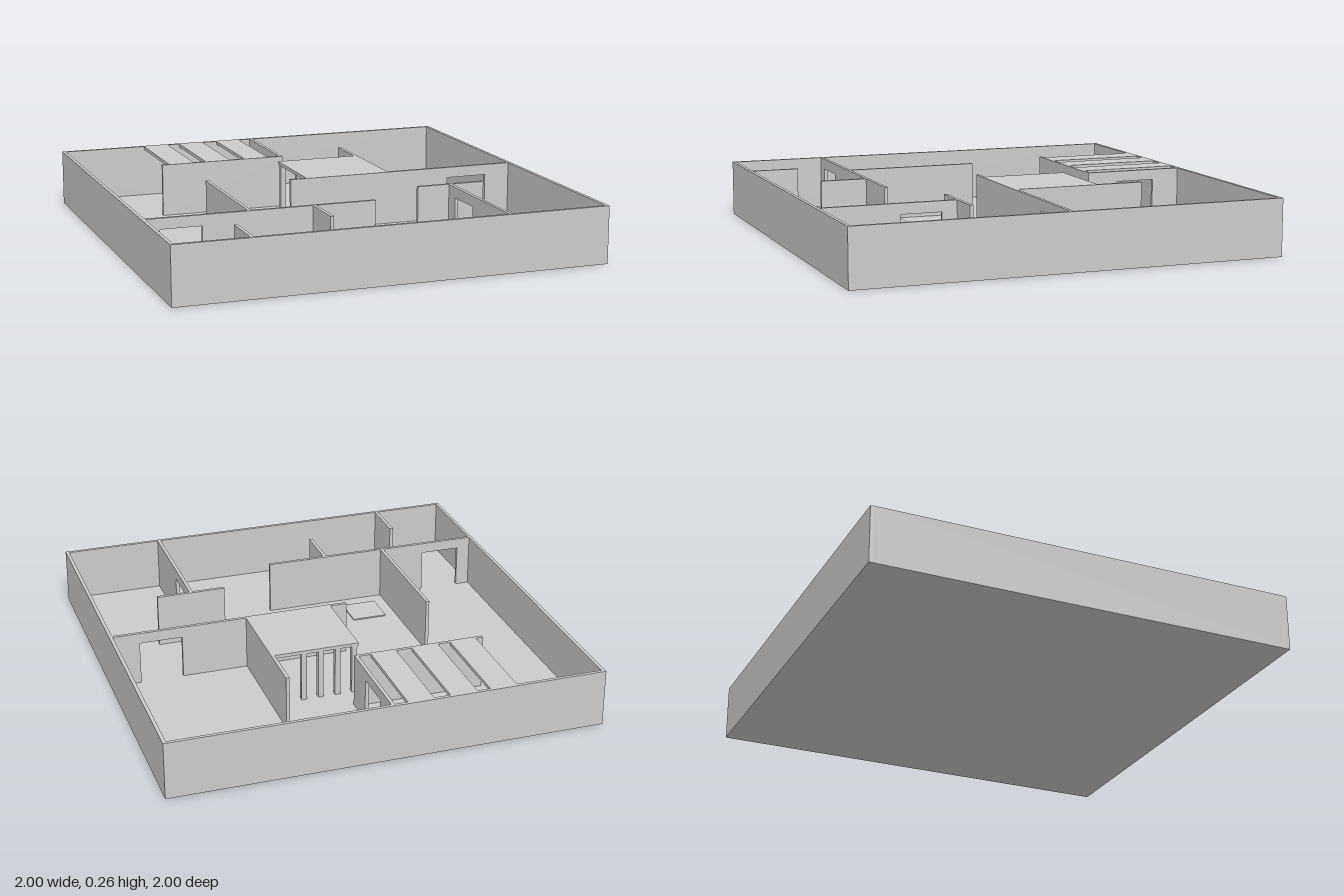
import * as THREE from 'three';

const H = 0.265;      // overall height
const FLOOR = 0.014;  // floor slab thickness
const T = 0.016;      // wall thickness
const DOOR = 0.215;   // top of the door openings
const IN = 1 - T;     // inner face of the outer walls

export function createModel() {
  const model = new THREE.Group();
  const material = new THREE.MeshStandardMaterial({ color: 0xcccccc, flatShading: true });

  function add(name, geometry) {
    const mesh = new THREE.Mesh(geometry, material);
    mesh.name = name;
    model.add(mesh);
    return mesh;
  }

  // Box given by its extents
  function block(name, x0, x1, y0, y1, z0, z1) {
    add(name, new THREE.BoxGeometry(x1 - x0, y1 - y0, z1 - z0))
      .position.set((x0 + x1) / 2, (y0 + y1) / 2, (z0 + z1) / 2);
  }

  // Wall outline from a to b, notched from the floor up for a doorway
  function wallGeometry(a, b, door) {
    const s = new THREE.Shape();
    s.moveTo(a, FLOOR);
    if (door) {
      s.lineTo(door[0], FLOOR);
      s.lineTo(door[0], DOOR);
      s.lineTo(door[1], DOOR);
      s.lineTo(door[1], FLOOR);
    }
    s.lineTo(b, FLOOR);
    s.lineTo(b, H);
    s.lineTo(a, H);
    s.closePath();
    return new THREE.ExtrudeGeometry(s, { depth: T, bevelEnabled: false });
  }

  // Wall running along x, its back face at z
  function wallX(name, x0, x1, z, door) {
    add(name, wallGeometry(x0, x1, door)).position.z = z;
  }

  // Wall running along z, its lower-x face at x
  function wallZ(name, z0, z1, x, door) {
    const flipped = door && [-door[1], -door[0]];
    const mesh = add(name, wallGeometry(-z1, -z0, flipped));
    mesh.rotation.y = Math.PI / 2;
    mesh.position.x = x;
  }

  // Floor and outer walls
  block('floor', -1, 1, 0, FLOOR, -1, 1);
  wallX('frontOuterWall', -1, 1, IN);
  wallX('backOuterWall', -1, 1, -1);
  wallZ('rightOuterWall', -IN, IN, -1);
  wallZ('leftOuterWall', -IN, IN, IN);

  // Back room with a slatted roof
  wallX('backRoomFrontWall', -0.615, 0, -0.525);
  wallZ('backRoomSideWall', -IN, -0.525, -T, [-0.85, -0.66]);
  for (const [x0, x1] of [[-0.58, -0.455], [-0.395, -0.27], [-0.195, -0.075]]) {
    block('roofSlat', x0, x1, H - T, H, -IN, -0.525);
  }

  // Central room: long wall, side wall, canopy and its posts
  wallX('middleWall', -0.14, IN, 0, [0.66, 0.86]);
  wallZ('middleSideWall', -0.62, 0, 0.337);
  block('canopy', -0.06, 0.337, H - T, H, -0.4, 0);
  for (let i = 0; i < 4; i++) {
    const x = -0.055 + i * 0.08;
    block('canopyPost', x, x + 0.025, FLOOR, H - T, -0.395, -0.37);
  }

  // Front right rooms
  wallX('frontRightWall', -IN, 0.075, 0.53, [-0.92, -0.73]);
  wallZ('longPartition', -0.1, 0.53, -0.52);
  wallZ('shortPartition', 0.546, 0.765, -0.222);
  wallZ('frontStubWall', 0.76, IN, -0.656);

  // Front left T-shaped partition
  wallX('crossPartition', 0.36, 0.69, 0.343);
  wallZ('stemPartition', 0.359, IN, 0.515, [0.43, 0.62]);

  // Square block standing on the floor
  block('floorTile', -0.45, -0.283, FLOOR, FLOOR + 0.006, 0.295, 0.462);

  return model;
}
